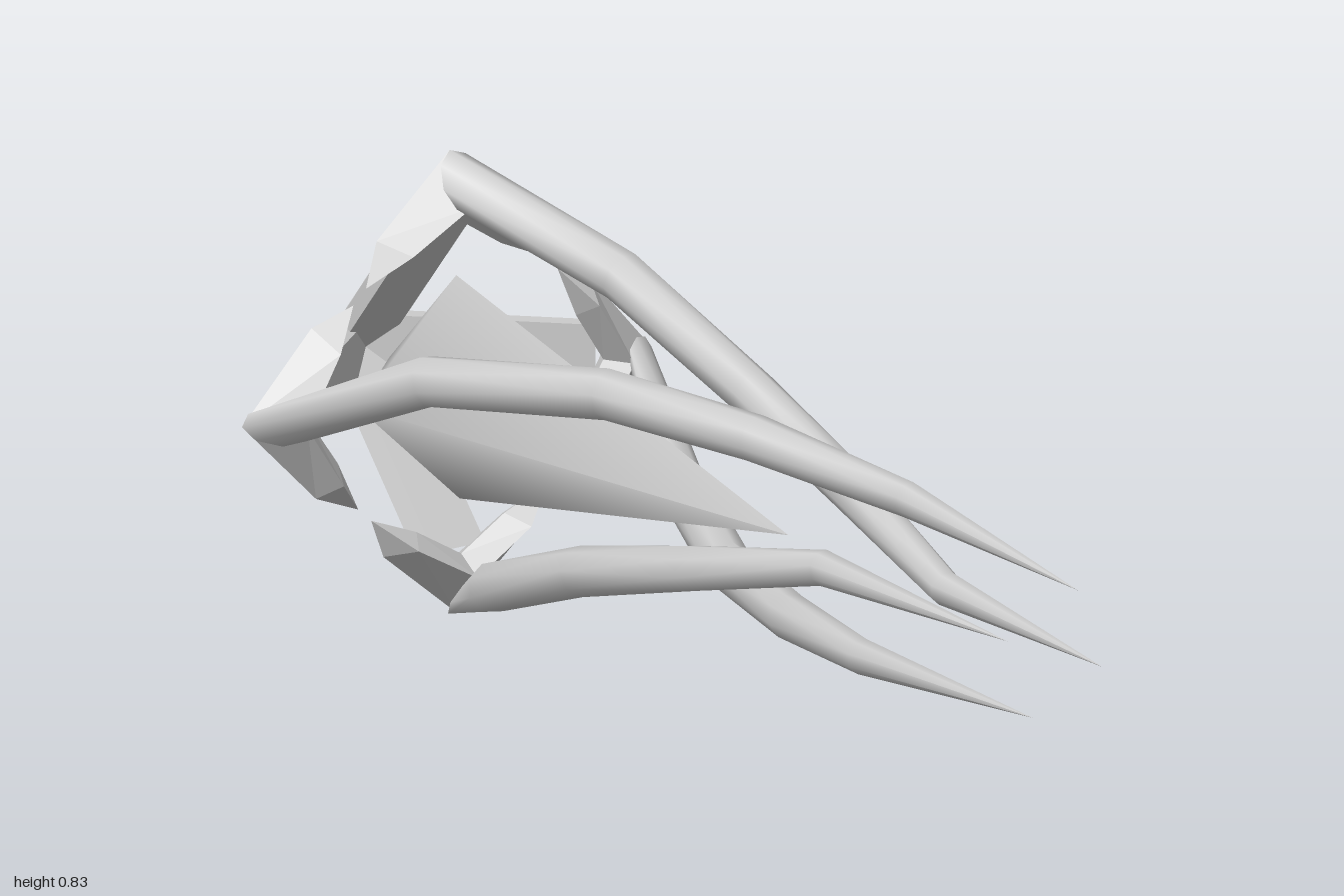
import * as THREE from 'three';

const CENTRE = 0.415; // height of the long axis, also the frame radius
const grey = new THREE.MeshStandardMaterial({ color: 0xcccccc });
const facetedGrey = new THREE.MeshStandardMaterial({ color: 0xcccccc, flatShading: true });
const V = (x, y, z) => new THREE.Vector3(x, y, z);

// Skin a list of closed cross-sections, each with the same number of points
function loft(rings) {
  const n = rings[0].length;
  const index = [];
  for (let r = 0; r < rings.length - 1; r++) {
    for (let i = 0; i < n; i++) {
      const a = r * n + i, b = r * n + (i + 1) % n;
      index.push(a, b, b + n, a, b + n, a + n);
    }
  }
  const geo = new THREE.BufferGeometry().setFromPoints(rings.flat());
  geo.setIndex(index);
  geo.computeVertexNormals();
  return geo;
}

function named(name, geo, mat) {
  const mesh = new THREE.Mesh(geo, mat);
  mesh.name = name;
  return mesh;
}

// Elliptical ring from a centre and two half-axes
function ring(c, u, v, sides = 8) {
  return Array.from({ length: sides }, (_, i) => {
    const a = (i / sides) * Math.PI * 2;
    return c.clone().addScaledVector(u, Math.cos(a)).addScaledVector(v, Math.sin(a));
  });
}

// Tentacle: spirals from the frame corner forward to a sharp tip
function tentacleGeometry() {
  const path = [
    V(0, 0.368, -0.555), V(0.13, 0.247, -0.27), V(0.166, 0.118, 0.05),
    V(0.152, 0.035, 0.33), V(0.116, -0.04, 0.61), V(0.088, -0.038, 1),
  ];
  const radii = [0.045, 0.043, 0.041, 0.037, 0.027, 0];
  const rings = path.map((p, i) => {
    if (i === 0) return ring(p, V(0, 0.047, -0.035), V(-0.035, -0.01, 0));
    const t = path[Math.min(i + 1, 5)].clone().sub(path[i - 1]).normalize();
    const u = V(p.x, p.y, 0);
    u.addScaledVector(t, -u.dot(t)).normalize();
    const v = t.clone().cross(u);
    return ring(p, u.multiplyScalar(radii[i]), v.multiplyScalar(radii[i]));
  });
  return loft(rings);
}

// Strut: ridged bar from the corner back to the rear apex, mitred at both ends
function strutGeometry() {
  const section = [[0, 0], [0.06, 0.05], [0.045, 0.085], [-0.06, 0.085], [-0.06, 0.05]];
  const k = Math.SQRT2;
  return loft([
    section.map(([x, d]) => V(x, 0.415 - k * d, -0.59)),
    section.map(([x, d]) => V(x, 0, -1 + k * d)),
  ]);
}

// Corner barbs: a diamond section at the corner, pointed at both ends
function barbGeometry() {
  const tip = (s) => Array.from({ length: 4 }, () => V(0.18 * s, 0.205, -0.573));
  const shoulder = (s) => [
    V(0.15 * s, 0.28, -0.585), V(0.115 * s, 0.26, -0.525),
    V(0.09 * s, 0.243, -0.573), V(0.115 * s, 0.26, -0.617),
  ];
  const corner = [V(0, 0.415, -0.59), V(0, 0.33, -0.52), V(0, 0.3, -0.573), V(0, 0.335, -0.625)];
  return loft([tip(-1), shoulder(-1), corner, shoulder(1), tip(1)]);
}

export function createModel() {
  const model = new THREE.Group();
  model.name = 'model';

  // Four-sided spindle body with a long front point and a short rear point
  const body = new THREE.LatheGeometry(
    [new THREE.Vector2(0, -0.8), new THREE.Vector2(0.2, -0.575), new THREE.Vector2(0, 0.37)], 4);
  body.rotateX(Math.PI / 2);
  const core = named('body', body, grey);
  core.position.y = CENTRE;
  model.add(core);

  // Four identical arms around the long axis
  const tentacle = tentacleGeometry();
  const strut = strutGeometry();
  const barb = barbGeometry();
  for (let i = 0; i < 4; i++) {
    const arm = new THREE.Group();
    arm.name = `arm${i + 1}`;
    arm.add(
      named('tentacle', tentacle, grey),
      named('strut', strut, facetedGrey),
      named('cornerBarbs', barb, facetedGrey),
    );
    arm.position.y = CENTRE;
    arm.rotation.z = (i * Math.PI) / 2;
    model.add(arm);
  }
  return model;
}
